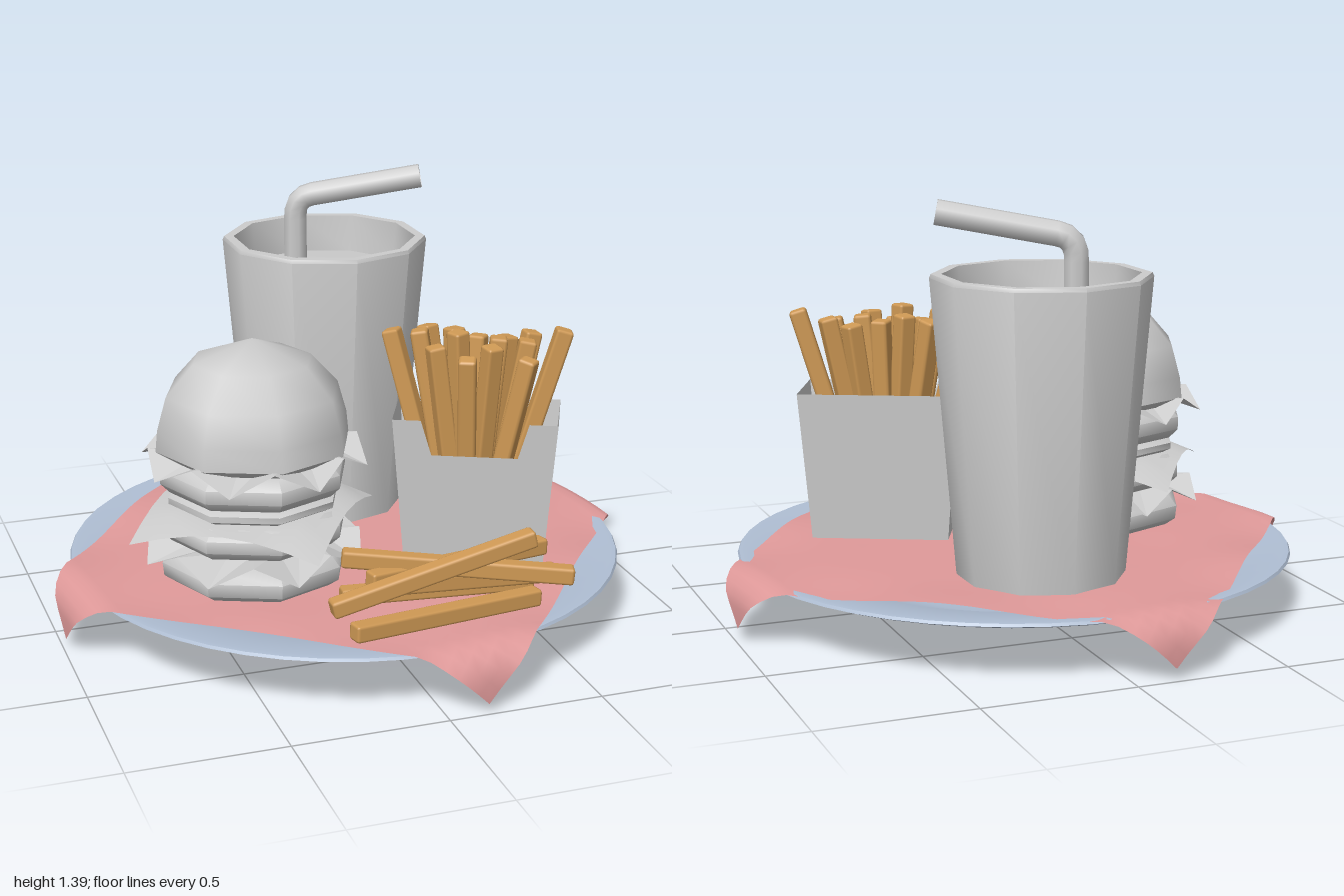
import * as THREE from 'three';
import { toCreasedNormals } from 'three/addons/utils/BufferGeometryUtils.js';
import { RoundedBoxGeometry } from 'three/addons/geometries/RoundedBoxGeometry.js';

const mat = (name, color, extra = {}) => {
  const m = new THREE.MeshStandardMaterial({ color, ...extra });
  m.name = name;
  return m;
};

export function createModel() {
  const root = new THREE.Group();
  root.name = 'fastFoodMeal';
  const blue = mat('plateBlue', 0xb0bfd4);
  const pink = mat('napkinPink', 0xe09a9a, { side: THREE.DoubleSide });
  const grey = mat('plainGrey', 0xcccccc, { side: THREE.DoubleSide });
  const gold = mat('fryGold', 0xd09a55);

  const add = (parent, name, geo, material, x = 0, y = 0, z = 0) => {
    const mesh = new THREE.Mesh(geo, material);
    mesh.name = name;
    mesh.position.set(x, y, z);
    parent.add(mesh);
    return mesh;
  };
  const group = (name, x = 0, y = 0, z = 0) => {
    const g = new THREE.Group();
    g.name = name;
    g.position.set(x, y, z);
    root.add(g);
    return g;
  };
  const lathe = (pts, sides, crease = 0.9) =>
    toCreasedNormals(new THREE.LatheGeometry(pts.map(p => new THREE.Vector2(...p)), sides), crease);

  // Plate
  add(root, 'plate', lathe([[0, 0.01], [0.36, 0.01], [0.39, 0.015], [0.46, 0.03], [0.53, 0.055], [0.59, 0.085],
    [0.68, 0.118], [0.8, 0.148], [0.9, 0.172], [0.925, 0.182], [0.92, 0.191], [0.9, 0.192],
    [0.72, 0.165], [0.55, 0.1], [0.45, 0.08], [0, 0.08]], 48), blue);
  add(root, 'plateFoot', lathe([[0, 0], [0.34, 0], [0.37, 0.012]], 48), blue);

  // Napkin: square cloth whose corners fold down over the rim
  const cloth = new THREE.PlaneGeometry(1.6, 1.6, 32, 32);
  const cp = cloth.attributes.position;
  const fold = u => {
    const t = Math.max(0, Math.abs(u) - 0.93);
    const flat = Math.min(Math.abs(u), 0.93) + 0.07 * Math.sin(Math.min(t / 0.12, 1) * Math.PI / 2);
    return [Math.sign(u) * flat, 0.17 * Math.pow(t / 0.2, 1.2)];
  };
  for (let i = 0; i < cp.count; i++) {
    const a = cp.getX(i), b = cp.getY(i);
    const [p, dropP] = fold((a + b) * Math.SQRT1_2);
    const [q, dropQ] = fold((b - a) * Math.SQRT1_2);
    const edge = Math.max(Math.abs(a), Math.abs(b)) / 0.8;
    const wave = 0.011 * edge ** 3 * Math.sin(9 * a + 2) * Math.cos(8 * b);
    cp.setXYZ(i, 0.13 * p + 0.99 * q, 0.198 + wave - dropP - dropQ, 0.99 * p - 0.13 * q);
  }
  cloth.computeVertexNormals();
  add(root, 'napkin', cloth, pink);

  // Drink
  const drink = group('drink', 0.065, 0, -0.4);
  add(drink, 'cup', lathe([[0, 0.195], [0.27, 0.195], [0.35, 1.145], [0.345, 1.157], [0.312, 1.157],
    [0.3, 1.03]], 10, 0.7), grey);
  add(drink, 'drinkSurface', lathe([[0.302, 1.03], [0.15, 1.04], [0, 1.045]], 10), grey);
  const v = (x, y, z) => new THREE.Vector3(x, y, z);
  const path = new THREE.CurvePath();
  path.add(new THREE.LineCurve3(v(-0.008, 1.0, -0.5), v(-0.008, 1.21, -0.5)));
  path.add(new THREE.QuadraticBezierCurve3(v(-0.008, 1.21, -0.5), v(-0.008, 1.28, -0.5), v(0.05, 1.289, -0.478)));
  path.add(new THREE.LineCurve3(v(0.05, 1.289, -0.478), v(0.395, 1.355, -0.35)));
  add(root, 'straw', new THREE.TubeGeometry(path, 24, 0.041, 8), grey);

  // Burger layers, bottom to top
  const burger = group('burger', -0.363, 0, 0.168);
  const layer = (name, pts) => add(burger, name, lathe(pts, 8), grey);
  const patty = (name, y0, y1, r) => layer(name, [[0, y0], [r * 0.9, y0], [r, y0 + (y1 - y0) * 0.3],
    [r, y0 + (y1 - y0) * 0.7], [r * 0.9, y1], [0, y1]]);
  const lettuce = (name, y, turn) => {
    const geo = new THREE.RingGeometry(0.2, 0.36, 16, 1).rotateX(-Math.PI / 2);
    const pos = geo.attributes.position;
    for (let i = 17; i < pos.count; i++) {
      const low = i % 2, s = low ? 1.03 : 0.95;
      pos.setXYZ(i, pos.getX(i) * s, low ? -0.055 : 0.01, pos.getZ(i) * s);
    }
    add(burger, name, toCreasedNormals(geo, 0.1), grey, 0, y, 0).rotation.y = turn;
  };
  layer('bottomBun', [[0, 0.2], [0.27, 0.2], [0.305, 0.225], [0.31, 0.27], [0.28, 0.305], [0, 0.31]]);
  lettuce('lowerLettuce', 0.34, 0.1);
  patty('lowerPatty', 0.345, 0.443, 0.31);
  const cheese = new THREE.PlaneGeometry(0.625, 0.625, 6, 6).rotateX(-Math.PI / 2);
  const ch = cheese.attributes.position;
  for (let i = 0; i < ch.count; i++) {
    ch.setY(i, -0.07 * Math.max(0, Math.hypot(ch.getX(i), ch.getZ(i)) - 0.29) / 0.15);
  }
  cheese.computeVertexNormals();
  add(burger, 'cheese', cheese, grey, 0, 0.45, 0).rotation.y = Math.PI / 4 + 0.18;
  patty('tomato', 0.455, 0.505, 0.285);
  patty('upperPatty', 0.508, 0.615, 0.31);
  lettuce('upperLettuce', 0.645, 0.3);
  layer('topBun', [[0, 0.625], [0.29, 0.625], [0.322, 0.65], [0.315, 0.72], [0.285, 0.825], [0.195, 0.925], [0, 0.995]]);

  // Fries carton: four sloping panels, the front one notched
  const carton = group('friesCarton', 0.38, 0.2, 0.245);
  carton.rotation.y = -0.447;
  const panel = (name, wBottom, wTop, zBottom, zTop, turn, notch = []) => {
    const h = 0.5;
    const shape = new THREE.Shape([[-wBottom, 0], [wBottom, 0], [wTop, h], ...notch, [-wTop, h]]
      .map(p => new THREE.Vector2(...p)));
    const geo = new THREE.ShapeGeometry(shape);
    const pos = geo.attributes.position;
    for (let i = 0; i < pos.count; i++) pos.setZ(i, zBottom + (zTop - zBottom) * pos.getY(i) / h);
    geo.computeVertexNormals();
    add(carton, name, geo, grey).rotation.y = turn;
  };
  panel('cartonFront', 0.23, 0.268, 0.1, 0.135, 0, [[0.175, 0.5], [0.14, 0.38], [-0.14, 0.38], [-0.175, 0.5]]);
  panel('cartonBack', 0.23, 0.268, 0.1, 0.135, Math.PI);
  for (const s of [-1, 1]) panel('cartonSide', 0.1, 0.135, 0.23, 0.268, s * Math.PI / 2);
  add(carton, 'cartonBase', new THREE.BoxGeometry(0.46, 0.005, 0.2), grey, 0, 0.003, 0);

  // Fries, each spanning two points
  const fry = (parent, name, from, to, size) => {
    const mesh = add(parent, name, new RoundedBoxGeometry(size, size, from.distanceTo(to), 1, 0.01), gold);
    mesh.position.copy(from).lerp(to, 0.5);
    mesh.lookAt(to);
  };
  const standing = group('cartonFries');
  [[0.14, 0.95, 0.07], [0.2, 0.97, 0.17], [0.27, 0.95, 0.06], [0.3, 0.98, 0.26], [0.33, 0.96, 0.15],
    [0.29, 0.92, 0.37], [0.4, 0.94, 0.19], [0.38, 0.95, 0.36], [0.44, 0.95, 0.27], [0.5, 0.93, 0.2],
    [0.5, 0.9, 0.38], [0.53, 0.94, 0.3], [0.57, 0.95, 0.24], [0.65, 0.97, 0.32], [0.23, 0.93, 0.24]]
    .forEach(([x, y, z]) => fry(standing, 'cartonFry',
      v(0.355 + (x - 0.355) * 0.42, 0.38, 0.24 + (z - 0.24) * 0.4), v(x, y, z), 0.058));
  const loose = group('looseFries');
  [[-0.29, 0.295, 0.74, 0.37, 0.45, 0.75], [-0.2, 0.385, 0.57, 0.49, 0.32, 0.79],
    [-0.14, 0.335, 0.66, 0.51, 0.31, 0.51], [-0.26, 0.265, 0.86, 0.4, 0.235, 0.72],
    [-0.2, 0.25, 0.56, 0.43, 0.24, 0.61], [-0.08, 0.32, 0.68, 0.5, 0.265, 0.63]]
    .forEach(([a, b, c, d, e, f]) => fry(loose, 'looseFry', v(a, b, c), v(d, e, f), 0.056));

  return root;
}
